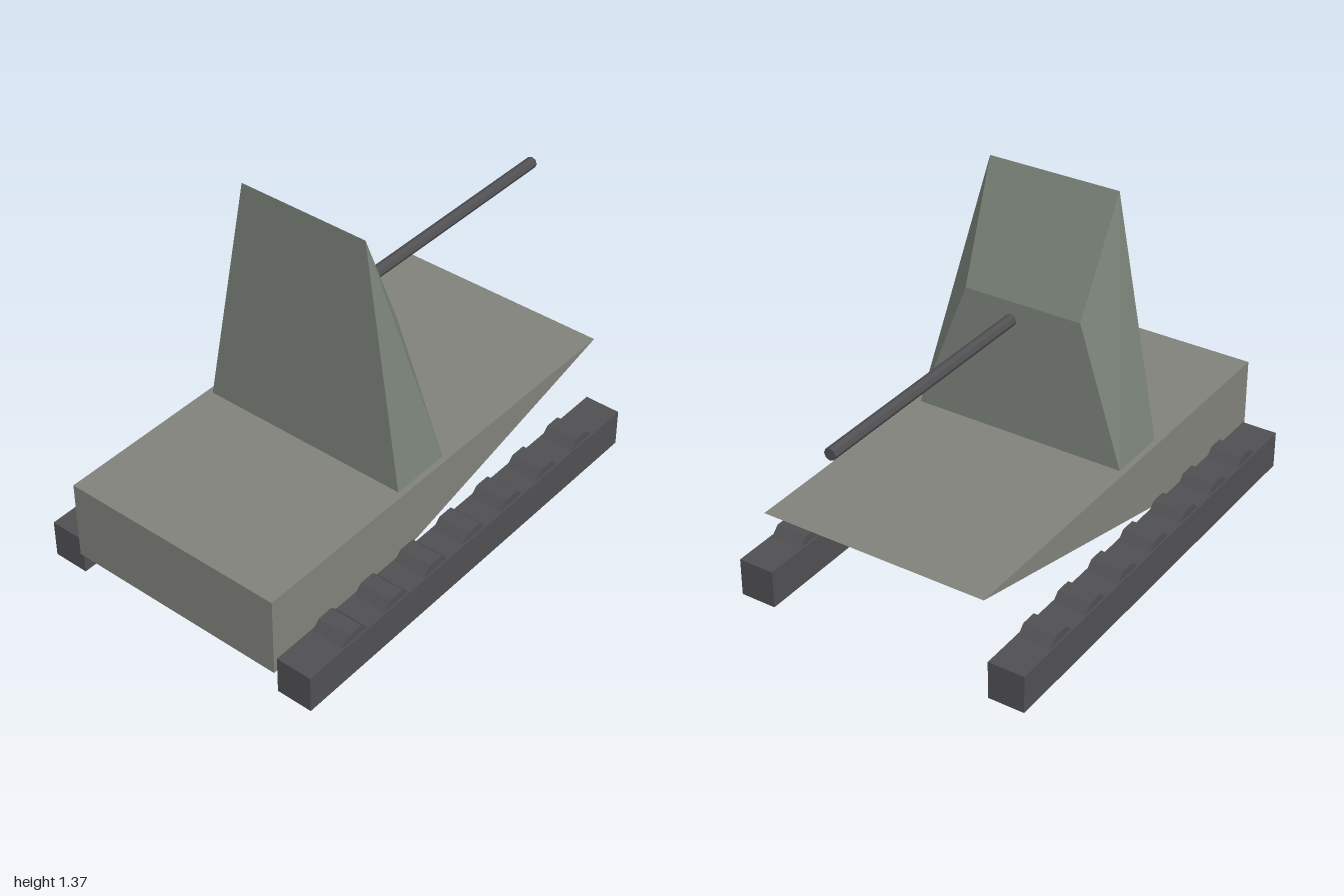
import * as THREE from 'three';

const material = (color) => new THREE.MeshStandardMaterial({ color, flatShading: true });

export function createModel() {
  const model = new THREE.Group();
  const hullMat = material(0x80827a);
  const turretMat = material(0x7a8278);
  const darkMat = material(0x505053);

  const add = (parent, name, geometry, mat, x = 0, y = 0, z = 0) => {
    const mesh = new THREE.Mesh(geometry, mat);
    mesh.name = name;
    mesh.position.set(x, y, z);
    parent.add(mesh);
    return mesh;
  };

  // Wedge hull: side profile (z, y) extruded across the width
  const profile = [[1, 0.095], [1, 0.412], [-0.81, 0.412], [0.525, 0.095]];
  const shape = new THREE.Shape(profile.map(([z, y]) => new THREE.Vector2(-z, y)));
  const hullGeo = new THREE.ExtrudeGeometry(shape, { depth: 0.9, bevelEnabled: false });
  hullGeo.translate(0, 0, -0.45).rotateY(Math.PI / 2);
  add(model, 'hull', hullGeo, hullMat);

  // Turret: four left/right vertex pairs (half width, y, z)
  const pairs = [
    [0.427, 0.412, 0.325], // front foot
    [0.264, 1.365, 0.303], // crest
    [0.238, 0.935, 0.105], // rear shoulder
    [0.427, 0.412, 0.08],  // rear foot
  ];
  const points = pairs.flatMap(([x, y, z]) => [-x, y, z, x, y, z]);
  const faces = [];
  for (let i = 0; i < 4; i++) {
    const a = i * 2, b = ((i + 1) % 4) * 2;
    faces.push(a, a + 1, b + 1, a, b + 1, b);
  }
  faces.push(1, 7, 3, 7, 5, 3, 0, 2, 6, 6, 2, 4);
  const indexed = new THREE.BufferGeometry();
  indexed.setAttribute('position', new THREE.Float32BufferAttribute(points, 3));
  indexed.setIndex(faces);
  const turretGeo = indexed.toNonIndexed();
  turretGeo.computeVertexNormals();
  add(model, 'turret', turretGeo, turretMat);

  // Gun barrel floating behind the turret
  const barrelGeo = new THREE.CylinderGeometry(0.023, 0.023, 1.03, 8).rotateX(Math.PI / 2);
  add(model, 'gunBarrel', barrelGeo, darkMat, -0.002, 0.912, -0.485);

  // Tracks with octagonal road wheels showing above the top
  const trackGeo = new THREE.BoxGeometry(0.143, 0.15, 1.775);
  const wheelGeo = new THREE.CylinderGeometry(0.084, 0.084, 0.129, 8)
    .rotateY(Math.PI / 8).rotateZ(Math.PI / 2);
  for (const side of [-1, 1]) {
    const group = new THREE.Group();
    group.name = side > 0 ? 'leftTrack' : 'rightTrack';
    group.position.x = side * 0.522;
    add(group, 'track', trackGeo, darkMat, 0, 0.075, 0.0975);
    for (let i = 0; i < 7; i++) {
      add(group, 'roadWheel', wheelGeo, darkMat, 0, 0.105, 0.748 - i * 0.217);
    }
    model.add(group);
  }
  return model;
}
